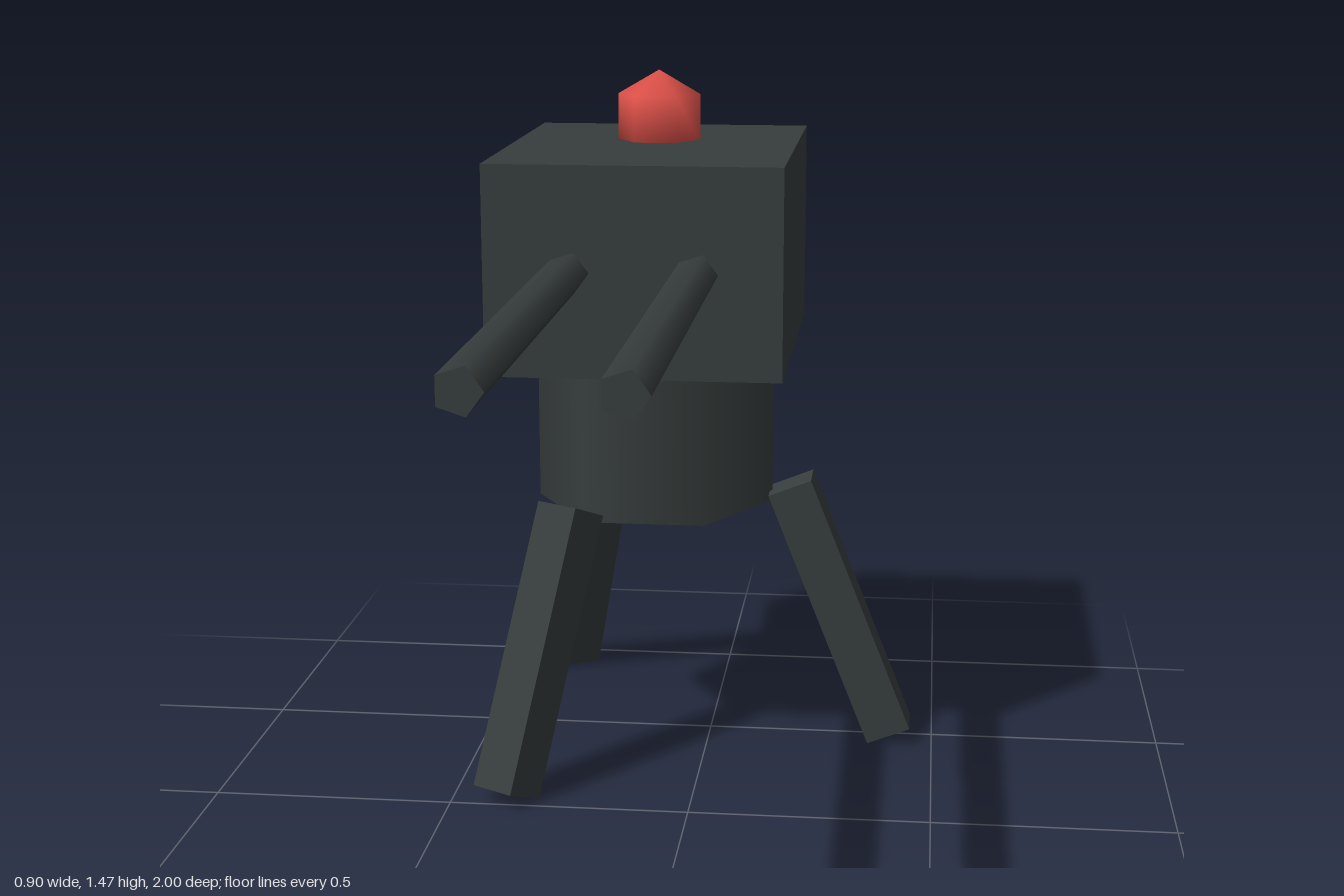
import * as THREE from 'three';

export function createModel() {
  const model = new THREE.Group();
  const metal = new THREE.MeshStandardMaterial({ color: 0x373e3d });
  metal.name = 'dark metal';
  const red = new THREE.MeshStandardMaterial({ color: 0xe0524a });
  red.name = 'beacon red';

  const CX = -0.122, CZ = -0.48; // vertical axis of the turret

  function add(name, geometry, material, x, y, z, parent = model) {
    const mesh = new THREE.Mesh(geometry, material);
    mesh.name = name;
    mesh.position.set(x, y, z);
    parent.add(mesh);
    return mesh;
  }

  // Gun housing
  add('housing', new THREE.BoxGeometry(0.606, 0.432, 0.78), metal, CX, 1.11, CZ);

  // Six-sided pedestal with corners on the left and right
  const pedestal = new THREE.CylinderGeometry(0.259, 0.259, 0.35, 6, 1, false, Math.PI / 6);
  add('pedestal', pedestal, metal, CX, 0.72, CZ);

  // Twin five-sided barrels, each with a corner towards +x
  const barrel = new THREE.CylinderGeometry(0.043, 0.043, 1.3, 5, 1, false, Math.PI / 2);
  barrel.rotateX(Math.PI / 2);
  add('leftBarrel', barrel, metal, CX + 0.13, 1.11, 0.35);
  add('rightBarrel', barrel, metal, CX - 0.13, 1.11, 0.35);

  // Warning beacon, a coarse sphere sunk into the roof
  add('beacon', new THREE.SphereGeometry(0.103, 6, 3), red, CX, 1.372, -0.566);

  // Tripod legs splayed outwards
  const leg = new THREE.BoxGeometry(0.1, 0.61, 0.1);
  leg.rotateZ(THREE.MathUtils.degToRad(21.8));
  ['leftLeg', 'backLeg', 'frontLeg'].forEach((name, i) => {
    const pivot = new THREE.Group();
    pivot.name = name + 'Pivot';
    pivot.position.set(CX, 0, CZ);
    pivot.rotation.y = i * Math.PI * 2 / 3;
    add(name, leg, metal, 0.413, 0.302, 0, pivot);
    model.add(pivot);
  });

  return model;
}
